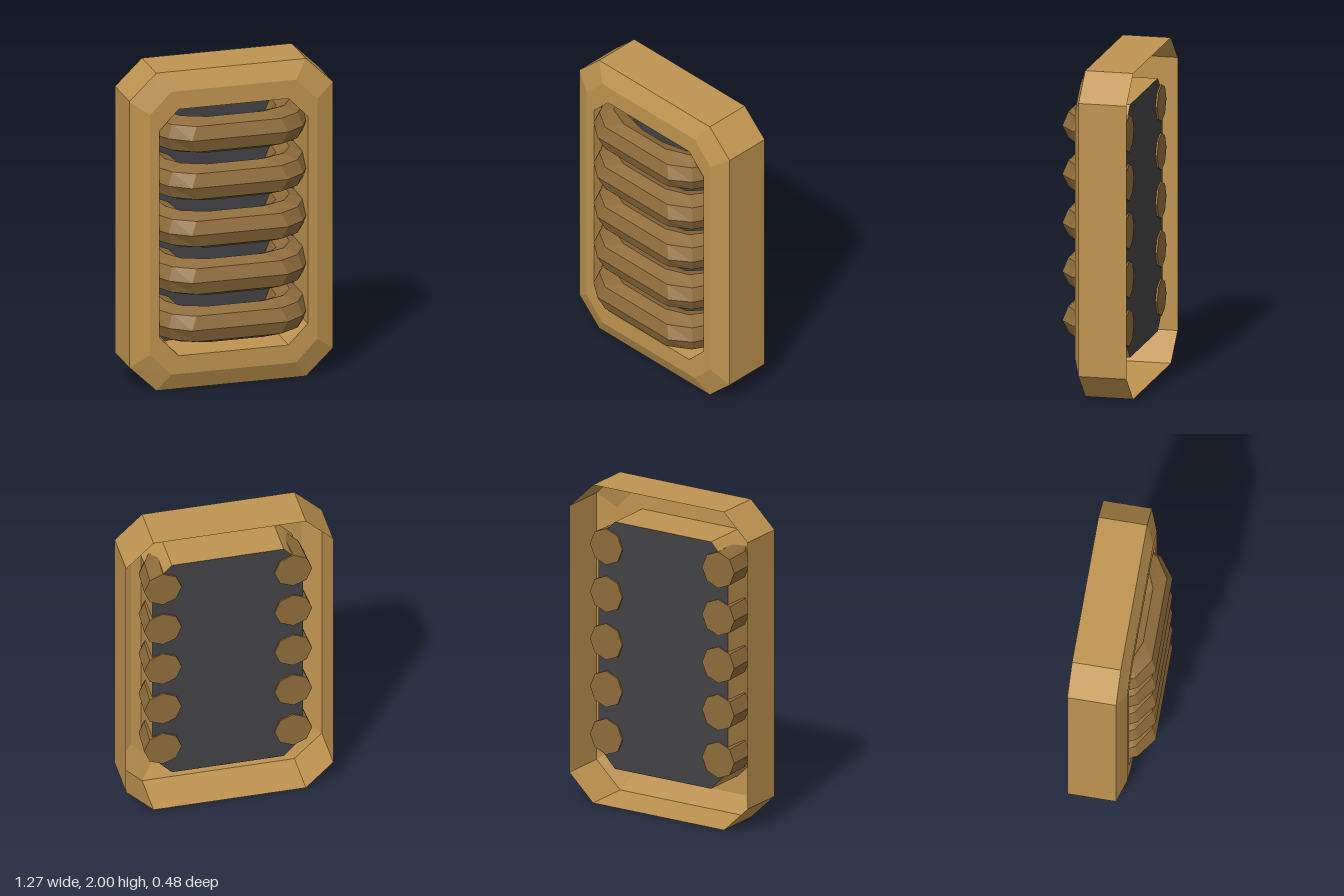
import * as THREE from 'three';

// Flat-shaded skin through matching closed rings of Vector3 points
function loft(rings, capped = false) {
  const pos = [];
  const tri = (...pts) => pts.forEach((p) => pos.push(p.x, p.y, p.z));
  const n = rings[0].length;
  for (let r = 0; r < rings.length - 1; r++) {
    const a = rings[r], b = rings[r + 1];
    for (let i = 0; i < n; i++) {
      const j = (i + 1) % n;
      tri(a[i], a[j], b[j]);
      tri(a[i], b[j], b[i]);
    }
  }
  if (capped) {
    const first = rings[0], last = rings[rings.length - 1];
    for (let i = 1; i < n - 1; i++) {
      tri(first[0], first[i + 1], first[i]);
      tri(last[0], last[i], last[i + 1]);
    }
  }
  const geo = new THREE.BufferGeometry();
  geo.setAttribute('position', new THREE.Float32BufferAttribute(pos, 3));
  geo.computeVertexNormals();
  return geo;
}

// Rectangle with cut corners: half sizes hx, hy; corner cuts start at cx, cy
function octagon(hx, hy, cx, cy, z) {
  return [[hx, -cy], [hx, cy], [cx, hy], [-cx, hy], [-hx, cy], [-hx, -cy], [-cx, -hy], [cx, -hy]]
    .map(([x, y]) => new THREE.Vector3(x, y + 1, z));
}

// Eight-sided ring around a bar: centre (x, z), outward vector (ox, oz)
function barRing([x, z, ox, oz]) {
  return Array.from({ length: 8 }, (_, k) => {
    const a = (k * Math.PI) / 4;
    return new THREE.Vector3(x + ox * Math.cos(a), 0.114 * Math.sin(a), z + oz * Math.cos(a));
  });
}

export function createModel() {
  const group = new THREE.Group();
  const material = (color) =>
    new THREE.MeshStandardMaterial({ color, flatShading: true, side: THREE.DoubleSide });
  const add = (name, geo, mat, y = 0) => {
    const mesh = new THREE.Mesh(geo, mat);
    mesh.name = name;
    mesh.position.y = y;
    group.add(mesh);
  };

  // Hollow frame: outer wall, bevel, front rim and inner wall, open at the back
  add('frame', loft([
    octagon(0.635, 1, 0.467, 0.838, -0.24),
    octagon(0.635, 1, 0.467, 0.838, 0.055),
    octagon(0.522, 0.89, 0.39, 0.755, 0.105),
    octagon(0.462, 0.776, 0.343, 0.652, 0.105),
    octagon(0.462, 0.776, 0.343, 0.652, -0.19),
  ]), material(0xbf9450));

  // Dark panel closing the inner wall
  const outline = octagon(0.462, 0.776, 0.343, 0.652, 0).map((p) => new THREE.Vector2(p.x, p.y));
  const panel = new THREE.ShapeGeometry(new THREE.Shape(outline));
  panel.translate(0, 0, -0.19);
  add('backPanel', panel, material(0x424244));

  // Five bowed bars, each running from the panel out past the rim and back
  const half = [
    [0.4, -0.2, 0.115, 0],
    [0.39, -0.03, 0.115, 0.015],
    [0.32, 0.08, 0.1, 0.07],
    [0.175, 0.14, 0.125, 0.098],
  ];
  const mirrored = half.map(([x, z, ox, oz]) => [-x, z, -ox, oz]).reverse();
  const bar = loft([...half, ...mirrored].map(barRing), true);
  const barMaterial = material(0x8f6c3b);
  for (let i = 0; i < 5; i++) add(`bar${i + 1}`, bar, barMaterial, 0.418 + i * 0.2985);

  return group;
}
